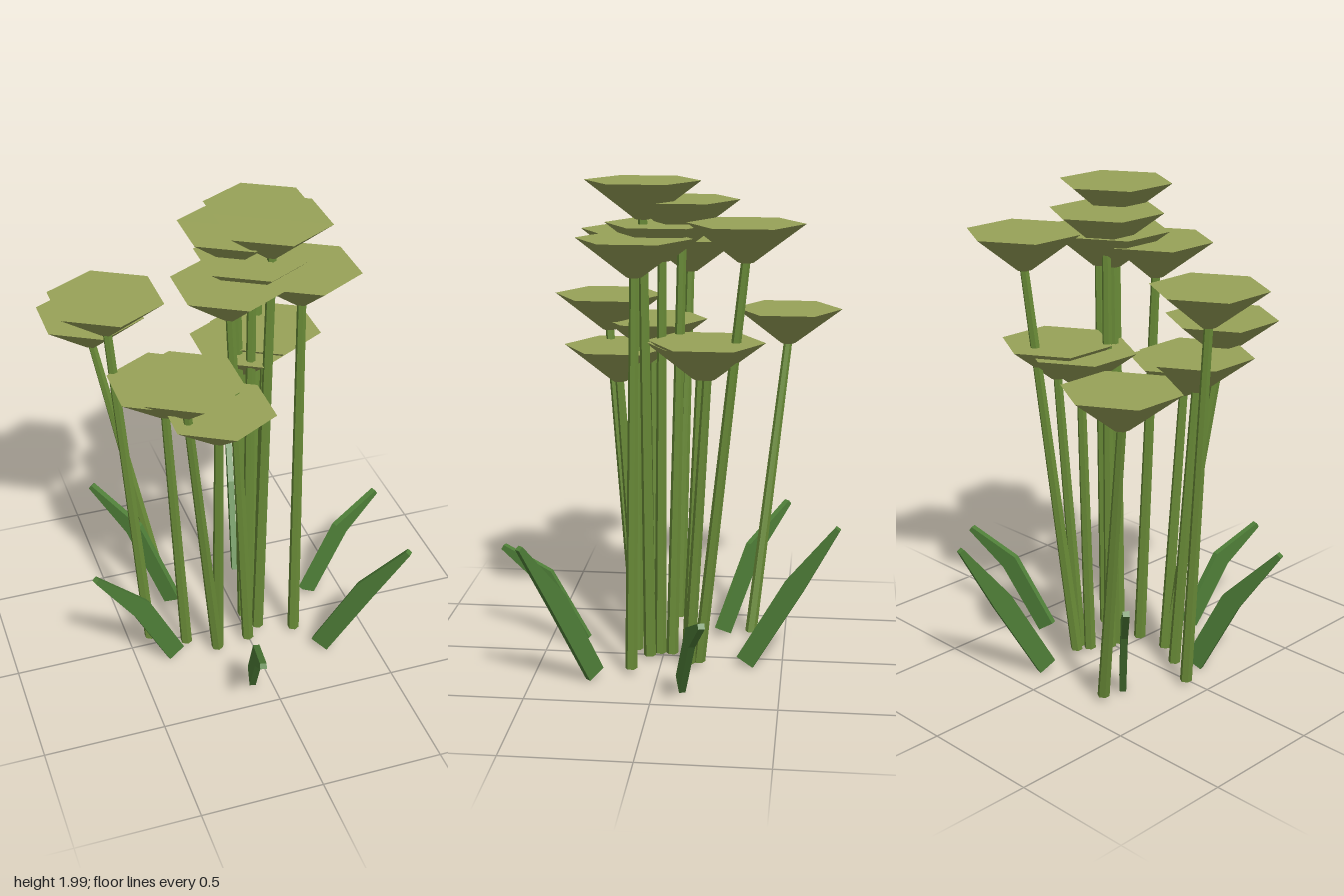
import * as THREE from 'three';

const paint = (color) => new THREE.MeshStandardMaterial({ color, flatShading: true });

// Flowers: head x, head z, top y, stem foot x, stem foot z
const FLOWERS = [
  [0.095, 0.07, 2.0, 0.055, 0.05],
  [0.0, -0.075, 1.92, 0.02, -0.04],
  [0.185, -0.337, 1.85, 0.1, -0.16],
  [0.04, 0.0, 1.83, 0.02, 0.01],
  [-0.085, 0.113, 1.79, -0.01, 0.11],
  [0.21, 0.09, 1.79, 0.2, 0.11],
  [-0.52, -0.06, 1.71, -0.41, -0.03],
  [-0.305, 0.26, 1.49, -0.155, 0.13],
  [-0.49, -0.485, 1.41, -0.26, -0.355],
  [-0.34, 0.078, 1.385, -0.27, 0.05],
  [-0.162, 0.2, 1.3, -0.15, 0.12],
  [0.163, -0.19, 1.385, 0.12, -0.12],
  [0.065, -0.155, 1.365, 0.07, -0.11],
];

// Leaves: direction x and z, then radius and height at the foot, bend and tip
const LEAVES = [
  [0.55, 0.5, 0.37, 0.03, 0.56, 0.39, 0.735, 0.645],
  [0.71, -0.22, 0.36, 0.03, 0.54, 0.3, 0.735, 0.42],
  [-0.15, 0.71, 0.36, 0.03, 0.53, 0.3, 0.72, 0.415],
  [-0.69, 0.21, 0.35, 0.03, 0.51, 0.35, 0.715, 0.6],
  [-0.53, -0.5, 0.34, 0.03, 0.52, 0.37, 0.725, 0.54],
  [0.17, -0.72, 0.36, 0.03, 0.56, 0.38, 0.735, 0.645],
];

const HEAD_HEIGHT = 0.15, FOOT_Y = 0.03, LEAF_THICKNESS = 0.026;

// Outline of a bent blade: offset each path point to both sides
function leafGeometry(foot, bend, tip) {
  const path = [foot, bend, tip];
  const halfWidths = [0.04, 0.042, 0.011];
  const upper = [], lower = [];
  path.forEach((p, i) => {
    const before = path[Math.max(i - 1, 0)], after = path[Math.min(i + 1, 2)];
    const along = after.clone().sub(before).normalize();
    const side = new THREE.Vector2(-along.y, along.x).multiplyScalar(halfWidths[i]);
    upper.push(p.clone().add(side));
    lower.push(p.clone().sub(side));
  });
  const shape = new THREE.Shape([...lower, ...upper.reverse()]);
  return new THREE.ExtrudeGeometry(shape, { depth: LEAF_THICKNESS, bevelEnabled: false })
    .translate(0, 0, -LEAF_THICKNESS / 2);
}

// Leaning stem with level ends: a tapered cylinder sheared sideways
function stemGeometry(x0, z0, x1, z1, top) {
  const h = top - FOOT_Y;
  const shear = new THREE.Matrix4().set(
    1, (x1 - x0) / h, 0, x0,
    0, 1, 0, FOOT_Y,
    0, (z1 - z0) / h, 1, z0,
    0, 0, 0, 1);
  return new THREE.CylinderGeometry(0.018, 0.025, h, 6).translate(0, h / 2, 0).applyMatrix4(shear);
}

export function createModel() {
  const model = new THREE.Group();
  model.name = 'flowerClump';
  const headMaterial = paint(0x98a258);
  const stemMaterial = paint(0x6a8c38);
  const leafMaterial = paint(0x4f7f38);
  const headGeometry = new THREE.CylinderGeometry(0.228, 0.03, HEAD_HEIGHT, 6);

  function add(parent, name, geometry, material) {
    const mesh = new THREE.Mesh(geometry, material);
    mesh.name = name;
    parent.add(mesh);
    return mesh;
  }

  // Stems with flat-topped hexagonal heads
  for (const [x, z, top, footX, footZ] of FLOWERS) {
    const flower = new THREE.Group();
    flower.name = 'flower';
    add(flower, 'flowerHead', headGeometry, headMaterial).position.set(x, top - HEAD_HEIGHT / 2, z);
    add(flower, 'stem', stemGeometry(footX, footZ, x, z, top - HEAD_HEIGHT + 0.01), stemMaterial);
    model.add(flower);
  }

  // Bent leaves spreading outwards around the stems
  for (const [dx, dz, r0, y0, r1, y1, r2, y2] of LEAVES) {
    const geometry = leafGeometry(
      new THREE.Vector2(r0, y0), new THREE.Vector2(r1, y1), new THREE.Vector2(r2, y2));
    add(model, 'leaf', geometry, leafMaterial).rotation.y = Math.atan2(-dz, dx);
  }
  return model;
}
